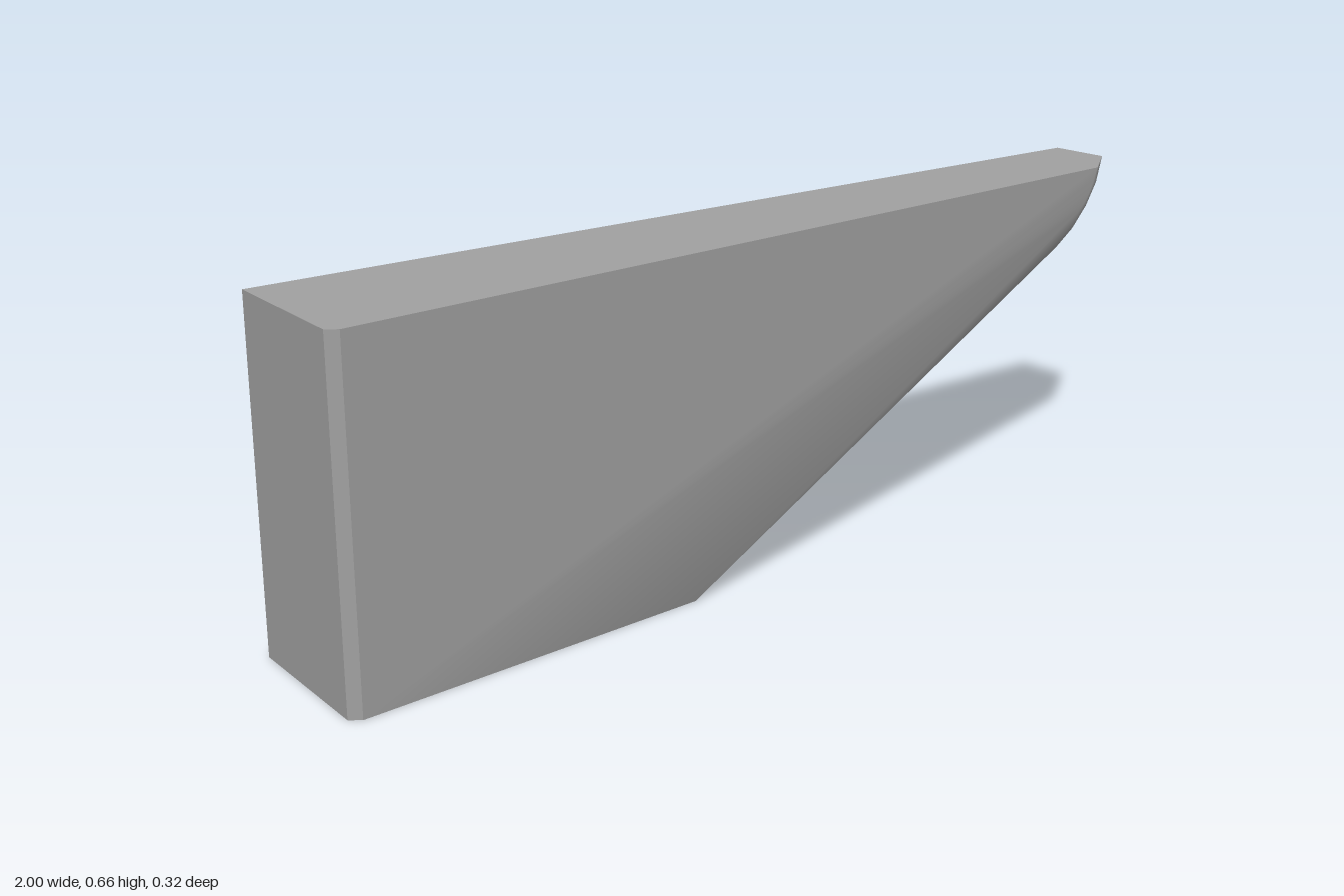
import * as THREE from 'three';

const TOP = 0.66, BACK = -0.163, LEFT = -0.98;
const frontZ = (x) => 0.161 - 0.061 * (x - LEFT);   // slightly tapering front face

// Lower profile from the foot of the slope up to the rounded tip:
// inner = where the bevel meets the front, outer = where it meets the underside
const inner = [[-0.255, 0], [0.838, 0.575], [0.857, 0.592], [0.873, 0.613], [0.885, 0.637], [0.895, TOP]]
  .map(([x, y]) => [x, y, frontZ(x)]);
const outerXY = [[-0.145, 0], [0.865, 0.478], [0.913, 0.512], [0.954, 0.556], [0.984, 0.605], [1, TOP]];
const outer = outerXY.map(([x, y], i) => [x, y, i ? -0.033 : 0.048]);
const rear = outerXY.map(([x, y]) => [x, y, BACK]);

// Corners of the blunt end
const frontLow = [LEFT, 0, frontZ(LEFT)], frontHigh = [LEFT, TOP, frontZ(LEFT)];
const sideLow = [-1, 0, 0.145], sideHigh = [-1, TOP, 0.145];
const rearLow = [LEFT, 0, BACK], rearHigh = [LEFT, TOP, BACK];

// Fan of triangles around the first point, counter-clockwise from outside
const fan = (p) => p.slice(2).flatMap((c, i) => [p[0], p[i + 1], c]);

// Strip of quads between two rows, with row b to the right of row a looking along the rows from outside
const strip = (a, b) => a.slice(1).flatMap((_, i) =>
  [a[i], b[i], b[i + 1], a[i], b[i + 1], a[i + 1]]);

// Shares equal corners so that normals are smooth within one patch
function patch(name, triangles, material) {
  const points = [], lookup = new Map();
  const index = triangles.map((p) => {
    const key = p.join();
    if (!lookup.has(key)) { lookup.set(key, points.length); points.push(p); }
    return lookup.get(key);
  });
  const geometry = new THREE.BufferGeometry();
  geometry.setAttribute('position', new THREE.Float32BufferAttribute(points.flat(), 3));
  geometry.setIndex(index);
  geometry.computeVertexNormals();
  const mesh = new THREE.Mesh(geometry, material);
  mesh.name = name;
  return mesh;
}

export function createModel() {
  const grey = new THREE.MeshStandardMaterial({ color: 0xa0a0a0 });
  grey.name = 'grey';
  const model = new THREE.Group();
  model.name = 'taperedBlade';

  // Front face flowing smoothly into the bevel
  model.add(patch('frontAndBevel', [
    ...fan([frontLow, ...inner, frontHigh]), ...strip(inner, outer),
  ], grey));

  // Flat base, sloping underside and rounded tip
  model.add(patch('underside', [
    ...fan([outer[0], inner[0], frontLow, sideLow, rearLow, rear[0]]),
    ...strip(outer, rear),
  ], grey));

  // Flat faces
  model.add(patch('topFace', fan([rearHigh, sideHigh, frontHigh, inner.at(-1), outer.at(-1), rear.at(-1)]), grey));
  model.add(patch('backFace', fan([rearLow, rearHigh, ...[...rear].reverse()]), grey));
  model.add(patch('bluntEnd', fan([rearLow, sideLow, sideHigh, rearHigh]), grey));
  model.add(patch('endBevel', fan([sideLow, frontLow, frontHigh, sideHigh]), grey));
  return model;
}
